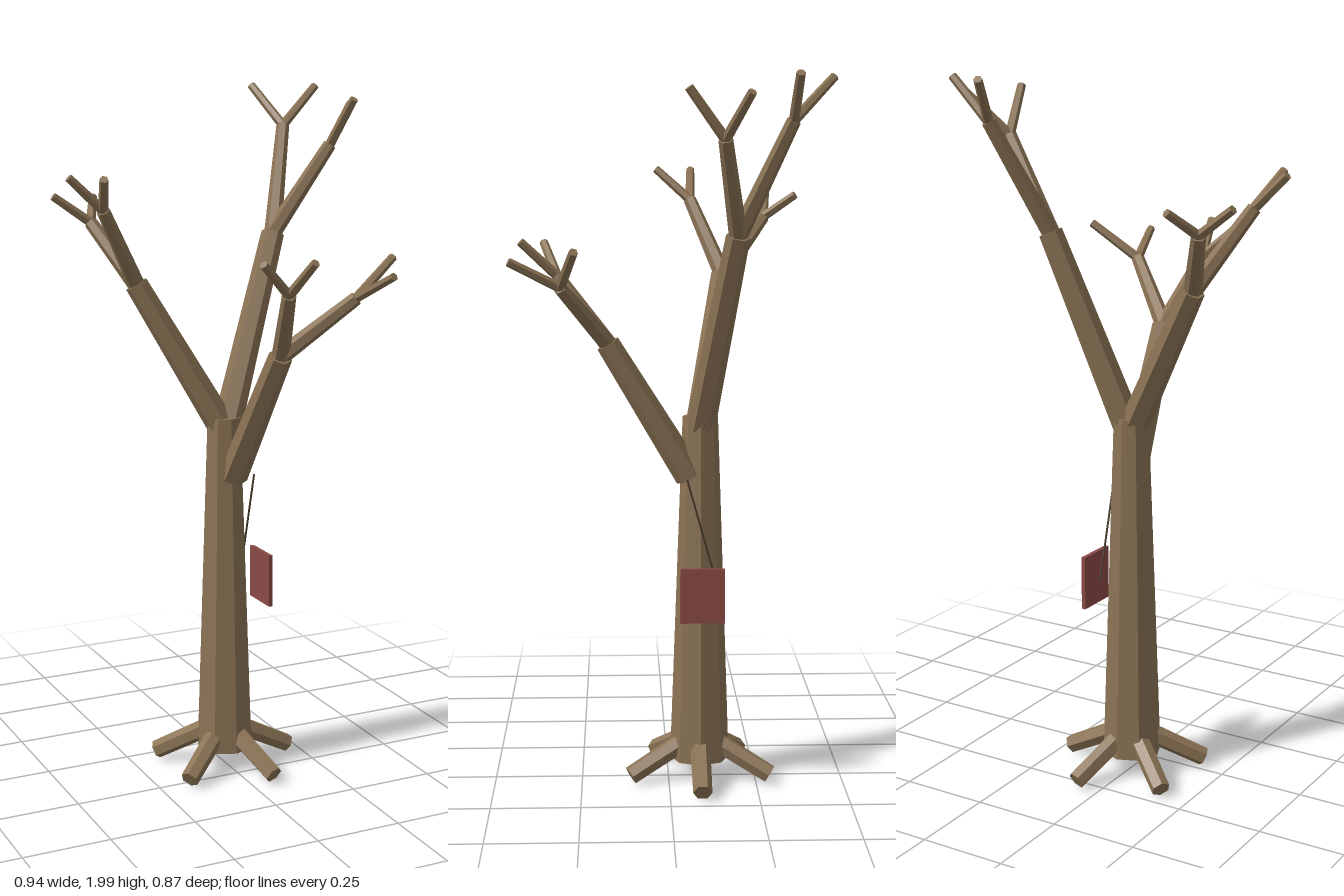
import * as THREE from 'three';

const bark = new THREE.MeshStandardMaterial({ color: 0x8b7355, flatShading: true });
const red = new THREE.MeshStandardMaterial({ color: 0x8b4a45 });
const dark = new THREE.MeshStandardMaterial({ color: 0x4a3b2a });

// Tapered faceted limb between two points
function limb(name, from, to, r0, r1, sides = 6, material = bark) {
  const a = new THREE.Vector3(...from);
  const dir = new THREE.Vector3(...to).sub(a);
  const length = dir.length();
  const geometry = new THREE.CylinderGeometry(r1, r0, length, sides);
  geometry.translate(0, length / 2, 0);
  const mesh = new THREE.Mesh(geometry, material);
  mesh.name = name;
  mesh.position.copy(a);
  mesh.quaternion.setFromUnitVectors(new THREE.Vector3(0, 1, 0), dir.normalize());
  return mesh;
}

// Each main branch forks into two boughs, each bough into two twigs
const branches = [
  {
    name: 'frontBranch', from: [0.015, 0.89, -0.06], to: [0.048, 1.27, 0.17],
    boughs: [
      { to: [0, 1.455, 0.31], tips: [[-0.095, 1.545, 0.35], [0.024, 1.55, 0.41]] },
      { to: [0.21, 1.435, 0.295], tips: [[0.345, 1.535, 0.255], [0.245, 1.505, 0.43]] },
    ],
  },
  {
    name: 'leftBranch', from: [0.01, 1.03, -0.09], to: [0.2, 1.57, -0.18],
    boughs: [
      { to: [0.3, 1.87, -0.315], tips: [[0.25, 1.985, -0.425], [0.41, 1.985, -0.32]] },
      { to: [0.36, 1.82, -0.135], tips: [[0.46, 1.935, -0.195], [0.384, 1.95, -0.04]] },
    ],
  },
  {
    name: 'rightBranch', from: [-0.005, 1.03, -0.09], to: [-0.235, 1.445, -0.165],
    boughs: [
      { to: [-0.32, 1.61, -0.29], tips: [[-0.425, 1.685, -0.305], [-0.278, 1.675, -0.38]] },
      { to: [-0.365, 1.66, -0.075], tips: [[-0.46, 1.75, -0.08], [-0.4, 1.75, 0.025]] },
    ],
  },
];

export function createModel() {
  const tree = new THREE.Group();
  tree.name = 'bareTree';

  tree.add(limb('trunk', [0, 0.06, -0.09], [0, 1.06, -0.09], 0.085, 0.05, 8));

  for (const b of branches) {
    const group = new THREE.Group();
    group.name = b.name;
    group.add(limb('mainBranch', b.from, b.to, 0.042, 0.033));
    for (const bough of b.boughs) {
      group.add(limb('bough', b.to, bough.to, 0.025, 0.019));
      for (const tip of bough.tips) group.add(limb('twig', bough.to, tip, 0.014, 0.012));
    }
    tree.add(group);
  }

  // Five roots spread around the foot
  for (let i = 0; i < 5; i++) {
    const angle = (i * 2 * Math.PI) / 5;
    const c = Math.cos(angle), s = Math.sin(angle);
    tree.add(limb('root', [0.05 * c, 0.11, -0.09 - 0.05 * s],
      [0.21 * c, 0.026, -0.09 - 0.21 * s], 0.029, 0.027));
  }

  // Small board beside the trunk, with its thin cord
  const board = new THREE.Mesh(new THREE.BoxGeometry(0.012, 0.155, 0.125), red);
  board.name = 'board';
  board.position.set(0.122, 0.568, -0.092);
  tree.add(board);
  tree.add(limb('cord', [0.077, 0.89, -0.05], [0.077, 0.58, -0.137], 0.003, 0.003, 5, dark));

  return tree;
}
